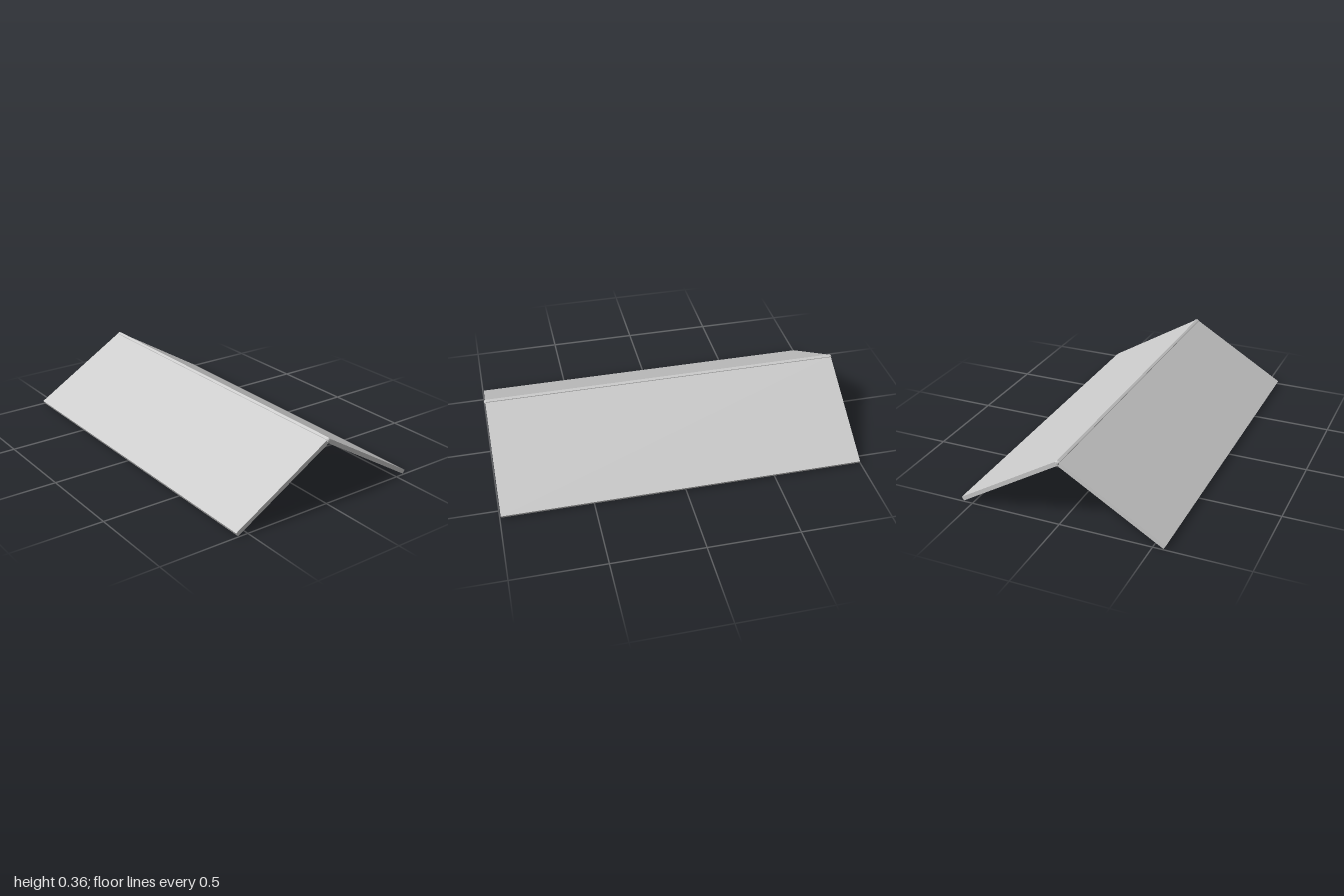
import * as THREE from 'three';

export function createModel() {
  const group = new THREE.Group();
  const material = new THREE.MeshStandardMaterial({ color: 0xcccccc, flatShading: true });

  // Two sloping panels, hinged at the ridge and mirrored front to back
  const slope = THREE.MathUtils.degToRad(31);
  const length = 0.653, thickness = 0.023, apex = 0.346;
  for (const [side, name] of [[1, 'frontPanel'], [-1, 'backPanel']]) {
    const panel = new THREE.Mesh(new THREE.BoxGeometry(1.988, thickness, length), material);
    panel.name = name;
    panel.rotation.x = side * slope;
    panel.position.set(0, apex - Math.sin(slope) * length / 2, side * Math.cos(slope) * length / 2);
    group.add(panel);
  }

  // Six-sided ridge bar with shallow domed ends
  const r = 0.0145;
  const profile = [[0, -1], [0.6 * r, -0.998], [r, -0.992], [r, 0.992], [0.6 * r, 0.998], [0, 1]]
    .map(([x, y]) => new THREE.Vector2(x, y));
  const ridgeGeometry = new THREE.LatheGeometry(profile, 6);
  ridgeGeometry.rotateY(Math.PI / 2); // puts an edge at the top once laid along x
  ridgeGeometry.rotateZ(Math.PI / 2);
  const ridge = new THREE.Mesh(ridgeGeometry, material);
  ridge.name = 'ridgeBar';
  ridge.position.y = 0.3485;
  group.add(ridge);

  return group;
}
